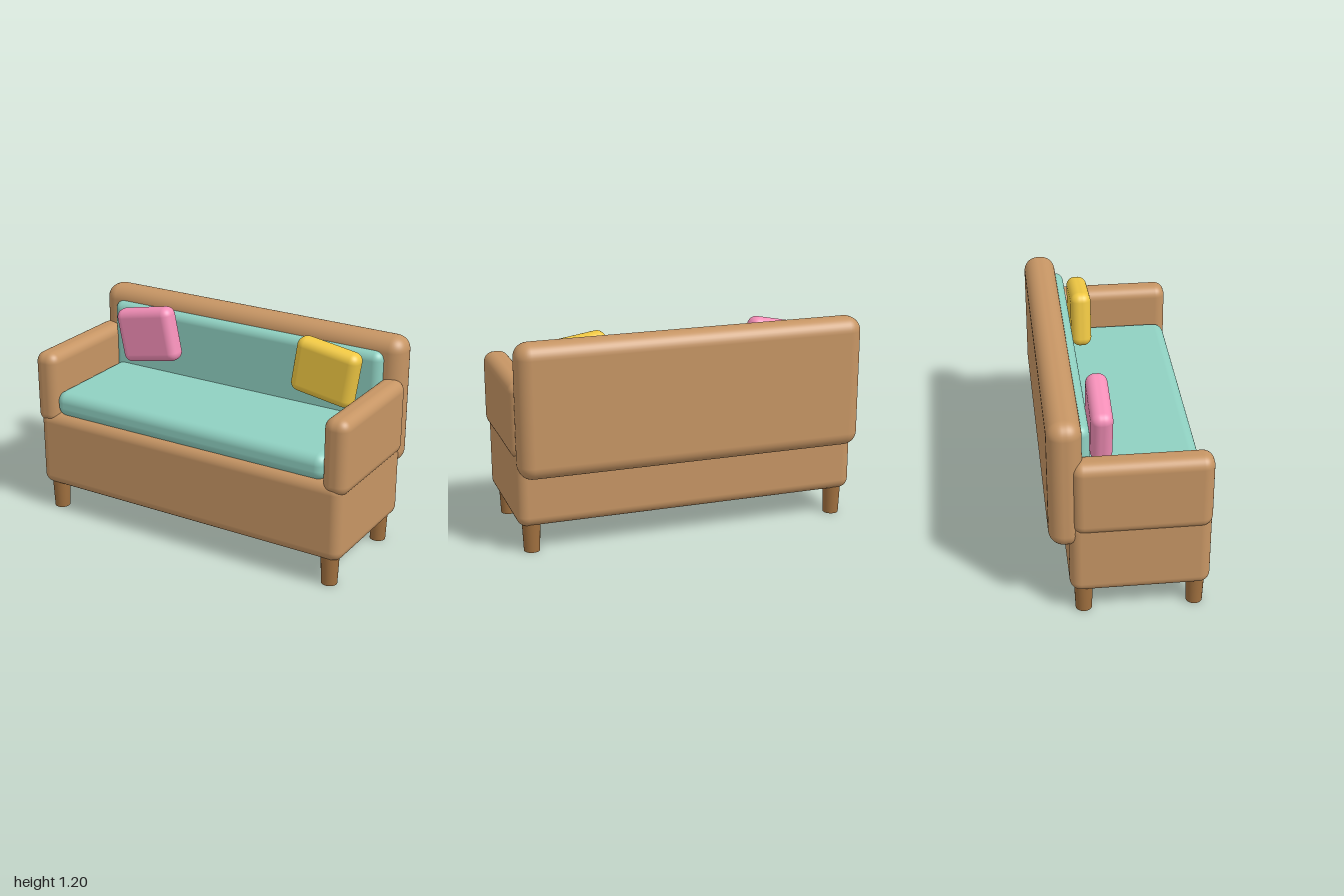
import * as THREE from 'three';
import { RoundedBoxGeometry } from 'three/addons/geometries/RoundedBoxGeometry.js';

const material = (color) => new THREE.MeshStandardMaterial({ color });

export function createModel() {
  const sofa = new THREE.Group();
  sofa.name = 'sofa';
  const brown = material(0xc69564);
  const teal = material(0x8fd0c1);
  const wood = material(0xa0703f);
  const pink = material(0xf48fb8);
  const yellow = material(0xf0c843);

  // Rounded block given by its minimum and maximum corners
  function block(name, min, max, radius, mat) {
    const size = max.map((v, i) => v - min[i]);
    const mesh = new THREE.Mesh(new RoundedBoxGeometry(...size, 5, radius), mat);
    mesh.position.set(...max.map((v, i) => (v + min[i]) / 2));
    mesh.name = name;
    sofa.add(mesh);
    return mesh;
  }

  // Upholstered frame
  block('base', [-0.98, 0.155, -0.32], [0.98, 0.61, 0.425], 0.06, brown);
  block('backrest', [-0.98, 0.45, -0.425], [0.98, 1.195, -0.245], 0.08, brown);

  // Cushions
  block('seatCushion', [-0.87, 0.595, -0.28], [0.87, 0.745, 0.41], 0.06, teal);
  block('backCushion', [-0.88, 0.65, -0.32], [0.88, 1.12, -0.2], 0.05, teal);

  // Arms and tapered legs, mirrored left and right
  const legGeometry = new THREE.CylinderGeometry(0.051, 0.044, 0.17, 24);
  for (const [side, s] of [['left', 1], ['right', -1]]) {
    const arm = block(side + 'Arm', [-0.0725, 0.54, -0.305], [0.0725, 0.97, 0.425], 0.06, brown);
    arm.position.x = s * 0.9275;
    for (const [end, z] of [['Front', 0.352], ['Back', -0.245]]) {
      const leg = new THREE.Mesh(legGeometry, wood);
      leg.name = side + end + 'Leg';
      leg.position.set(s * 0.895, 0.085, z);
      sofa.add(leg);
    }
  }

  // Tilted throw pillows
  for (const [name, x, tilt, mat] of [['rightPillow', -0.57, 0.2, pink], ['leftPillow', 0.595, -0.15, yellow]]) {
    const pillow = block(name, [-0.19, 0.83, -0.185], [0.19, 1.152, -0.068], 0.05, mat);
    pillow.position.x = x;
    pillow.rotation.z = tilt;
  }
  return sofa;
}
